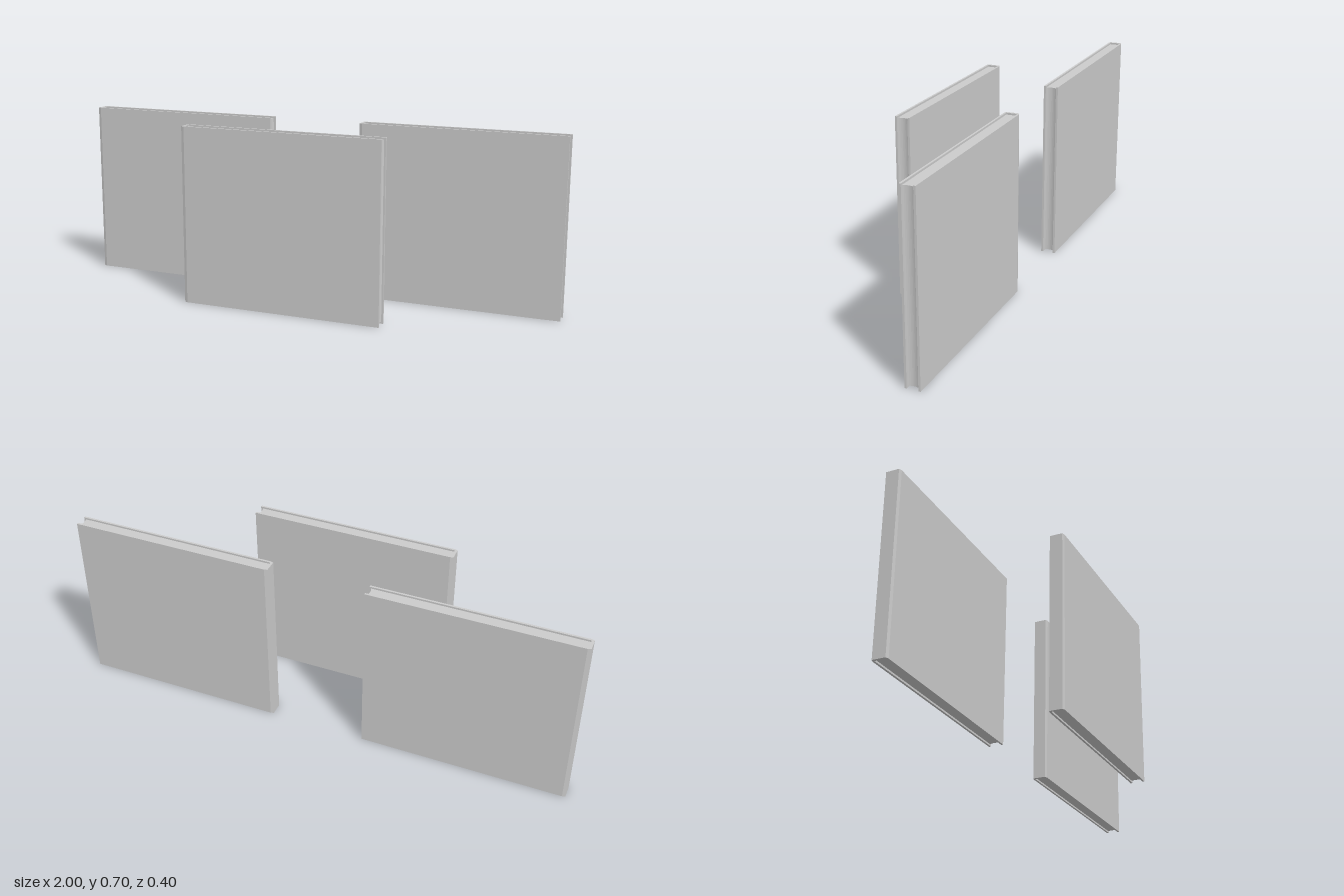
import * as THREE from 'three';

const W = 0.81, H = 0.70, T = 0.058;   // book width, height, thickness
const COVER = 0.008, INSET = 0.007;    // board thickness, page recess
const material = new THREE.MeshStandardMaterial({ color: 0xcccccc, flatShading: true });

// Extrudes a plan outline (x, z) upwards from y0.
function upright(shape, height, y0, name) {
  const geometry = new THREE.ExtrudeGeometry(shape, { depth: height, bevelEnabled: false, curveSegments: 8 });
  geometry.rotateX(-Math.PI / 2).translate(0, y0, 0);
  const mesh = new THREE.Mesh(geometry, material);
  mesh.name = name;
  return mesh;
}

// C-shaped cover: two boards joined by a spine with softened corners.
function coverShape() {
  const x = W / 2, z = T / 2, zi = z - COVER, xi = -x + 0.01;
  return new THREE.Shape([
    [-x + 0.012, -z], [x, -z], [x, -zi], [xi, -zi],
    [xi, zi], [x, zi], [x, z], [-x + 0.012, z],
    [-x, z - 0.004], [-x, -z + 0.004],
  ].map(([a, b]) => new THREE.Vector2(a, b)));
}

// Page block with a slightly hollow fore edge.
function pageShape() {
  const left = -W / 2 + 0.01, right = W / 2 - INSET, z = T / 2 - COVER;
  const shape = new THREE.Shape();
  shape.moveTo(left, -z);
  shape.lineTo(right, -z);
  shape.quadraticCurveTo(right - 0.01, 0, right, z);
  shape.lineTo(left, z);
  shape.closePath();
  return shape;
}

function makeBook(name, x, z) {
  const book = new THREE.Group();
  book.name = name;
  book.add(
    upright(coverShape(), H, 0, 'cover'),
    upright(pageShape(), H - 2 * INSET, INSET, 'pages'),
  );
  book.position.set(x, 0, z);
  return book;
}

export function createModel() {
  const model = new THREE.Group();
  model.name = 'books';
  model.add(
    makeBook('frontBook', -0.005, 0.169),
    makeBook('backRightBook', -0.595, -0.169),
    makeBook('backLeftBook', 0.595, -0.169),
  );
  return model;
}
